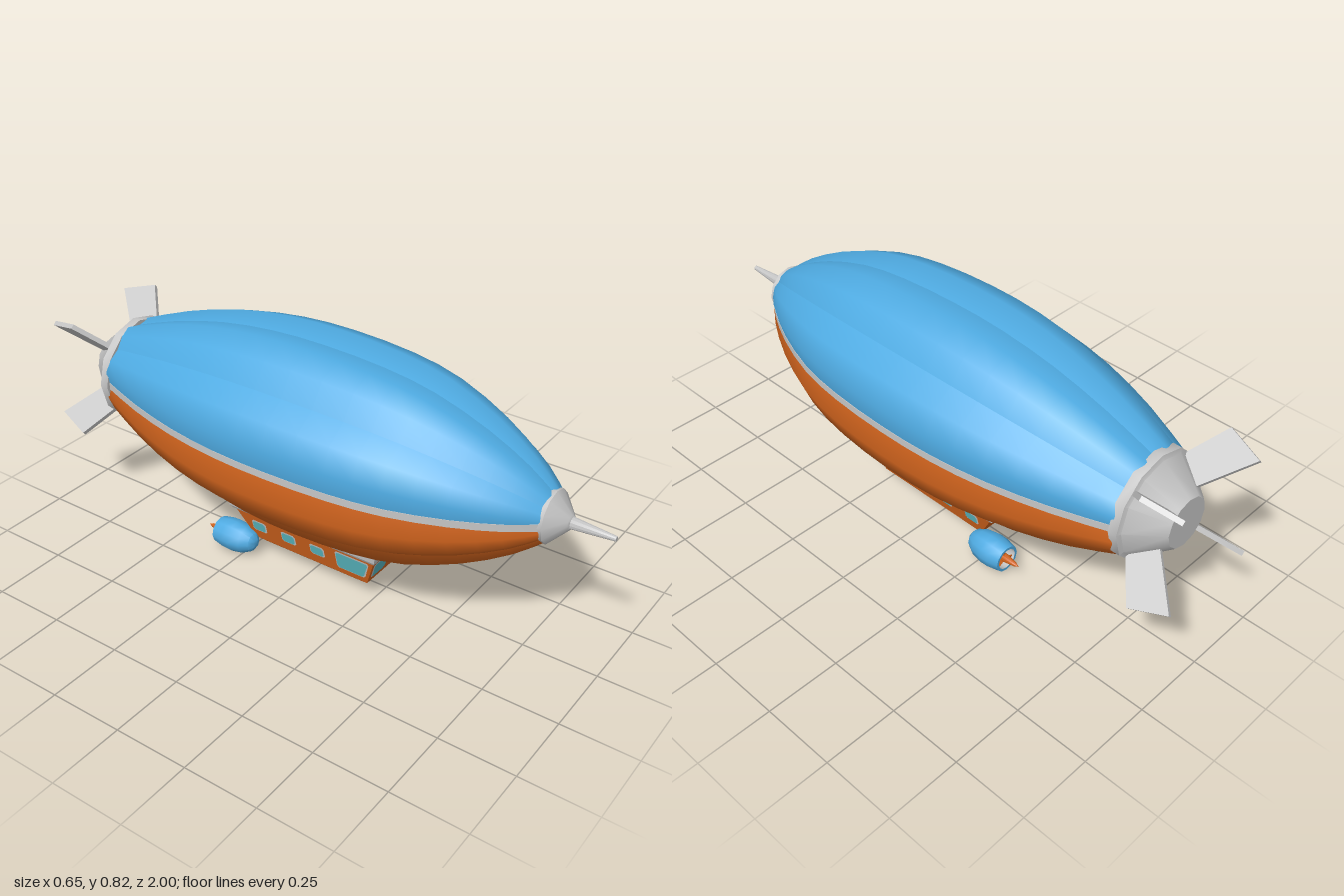
import * as THREE from 'three';
import { toCreasedNormals } from 'three/addons/utils/BufferGeometryUtils.js';

const AXIS_Y = 0.497; // height of the hull's long axis
const V2 = (x, y) => new THREE.Vector2(x, y);
const material = (name, color) => {
  const m = new THREE.MeshStandardMaterial({ color });
  m.name = name;
  return m;
};

// Surface through rows of points; outward when rows run front to back and columns counterclockwise
function loft(rows) {
  const n = rows[0].length, index = [];
  for (let i = 0; i < rows.length - 1; i++) {
    for (let j = 0; j < n - 1; j++) {
      const a = i * n + j, b = a + n;
      index.push(a, b, a + 1, b, b + 1, a + 1);
    }
  }
  const g = new THREE.BufferGeometry();
  g.setAttribute('position', new THREE.Float32BufferAttribute(rows.flat(2), 3));
  g.setIndex(index);
  g.computeVertexNormals();
  return g;
}

// Lathe turned along z; profile is [radius, z] from back to front
const latheZ = (profile) => toCreasedNormals(
  new THREE.LatheGeometry(profile.map(([r, z]) => V2(r, z)), 12).rotateX(Math.PI / 2), 0.6);

// Closed box with tapered sides from [y, halfWidth, zFront, zBack] levels, top to bottom
function taperedBox(levels) {
  const ring = ([y, w, f, b]) => [[w, y, b], [-w, y, b], [-w, y, f], [w, y, f], [w, y, b]];
  const collapse = ([y, , f, b]) => ring([y, 0, (f + b) / 2, (f + b) / 2]);
  const rows = [collapse(levels[0]), ...levels.map(ring), collapse(levels[levels.length - 1])];
  return toCreasedNormals(loft(rows), 0.1);
}

// Flat polygon with clipped corners, inset by d
function paneShape(corners, d) {
  const cu = corners.reduce((s, p) => s + p[0], 0) / 4;
  const cv = corners.reduce((s, p) => s + p[1], 0) / 4;
  const p = corners.map(([u, v]) => V2(u - Math.sign(u - cu) * d, v - Math.sign(v - cv) * d));
  const pts = [];
  p.forEach((c, i) => {
    const prev = p[(i + 3) % 4], next = p[(i + 1) % 4], clip = 0.007;
    pts.push(c.clone().add(prev.clone().sub(c).setLength(clip)));
    pts.push(c.clone().add(next.clone().sub(c).setLength(clip)));
  });
  return new THREE.Shape(pts);
}

export function createModel() {
  const blue = material('blue', 0x4fabe2);
  const orange = material('orange', 0xd0631d);
  const silver = material('silver', 0xc6c6c6);
  const glass = material('glass', 0x5cbcc6);

  const model = new THREE.Group();
  model.name = 'airship';
  const add = (name, geometry, mat, parent = model) => {
    const mesh = new THREE.Mesh(geometry, mat);
    mesh.name = name;
    parent.add(mesh);
  };

  // Everything centred on the long axis
  const envelope = new THREE.Group();
  envelope.name = 'envelope';
  envelope.position.y = AXIS_Y;
  model.add(envelope);

  // Hull: eight puffed lobes, blue above and orange below
  const profile = new THREE.SplineCurve([
    V2(0.802, 0.08), V2(0.72, 0.147), V2(0.58, 0.226), V2(0.4, 0.294), V2(0.22, 0.326), V2(0, 0.338),
    V2(-0.2, 0.331), V2(-0.4, 0.301), V2(-0.6, 0.245), V2(-0.78, 0.175),
  ]).getPoints(18);
  const CREASE = 0.915;
  for (let k = 0; k < 8; k++) {
    const rows = profile.map(({ x: z, y: r }) => [CREASE, 1, 1, CREASE].map((f, j) => {
      const t = (k + j / 3) * Math.PI / 4;
      return [r * f * Math.cos(t), r * f * Math.sin(t), z];
    }));
    add('hullLobe', loft(rows), k < 4 ? blue : orange, envelope);
  }

  // Silver strip along each side
  const stripRows = profile.map(({ x: z, y: r }) => {
    const x = r * CREASE;
    return [[x - 0.008, -0.013, z], [x + 0.004, -0.012, z], [x + 0.004, 0.012, z], [x - 0.008, 0.013, z]];
  });
  for (const turn of [0, Math.PI]) {
    add('sideStrip', toCreasedNormals(loft(stripRows).rotateZ(turn), 0.4), silver, envelope);
  }

  // Nose cap with spike, and tail cone
  add('noseCap', latheZ([[0, 0.79], [0.083, 0.79], [0.085, 0.808], [0.026, 0.86], [0.019, 0.864],
    [0.008, 1], [0, 1]]), silver, envelope);
  add('tailCone', latheZ([[0, -0.905], [0.083, -0.905], [0.165, -0.805], [0.18, -0.8],
    [0.18, -0.77], [0, -0.77]]), silver, envelope);

  // Four swept tail fins on the diagonals
  const finShape = new THREE.Shape([V2(0.139, -0.78), V2(0.29, -0.88), V2(0.245, -1), V2(0.09, -0.87)]);
  for (let k = 0; k < 4; k++) {
    const g = new THREE.ExtrudeGeometry(finShape, { depth: 0.016, bevelEnabled: false });
    g.translate(0, 0, -0.008).rotateX(Math.PI / 2).rotateZ(Math.PI / 4 + k * Math.PI / 2);
    add('tailFin', g, silver, envelope);
  }

  // Gondola body and its collar under the hull
  const gondola = new THREE.Group();
  gondola.name = 'gondola';
  model.add(gondola);
  add('gondolaBody', taperedBox([
    [0.185, 0.1225, 0.279, -0.285], [0.065, 0.092, 0.235, -0.215], [0.049, 0.075, 0.19, -0.17],
  ]), orange, gondola);
  add('gondolaCollar', taperedBox([
    [0.207, 0.134, 0.288, -0.3], [0.182, 0.13, 0.284, -0.295], [0.172, 0.124, 0.279, -0.285],
  ]), silver, gondola);

  // Windows: a silver plate with a smaller glass plate over it, laid on the sloping walls
  const wallX = (y) => 0.092 + (y - 0.065) * 0.254;
  const wallZ = (y) => 0.235 + (y - 0.065) * 0.367;
  const addWindow = (name, corners, place) => {
    [[name + 'Frame', 0, 0.002, silver], [name, 0.004, 0.004, glass]].forEach(([n, inset, lift, mat]) => {
      const g = new THREE.ShapeGeometry(paneShape(corners, inset));
      const p = g.attributes.position;
      for (let i = 0; i < p.count; i++) p.setXYZ(i, ...place(p.getX(i), p.getY(i), lift));
      g.computeVertexNormals();
      add(n, g, mat, gondola);
    });
  };
  for (const s of [1, -1]) {
    const onSide = (u, y, lift) => [s * (wallX(y) + lift), y, -s * u];
    const side = (pts) => pts.map(([z, y]) => [-s * z, y]);
    addWindow('cockpitWindow', side([[0.232, 0.088], [0.124, 0.088], [0.124, 0.162], [0.257, 0.162]]), onSide);
    for (const z of [0.05, -0.066, -0.186]) {
      addWindow('cabinWindow', side([[z + 0.029, 0.103], [z - 0.029, 0.103], [z - 0.029, 0.147],
        [z + 0.029, 0.147]]), onSide);
    }
    addWindow('windshield', [[s * 0.015, 0.088], [s * 0.09, 0.088], [s * 0.108, 0.162], [s * 0.015, 0.162]],
      (u, y, lift) => [u, y, wallZ(y) + lift]);
  }

  // Engine pods: shell, open duct at the back, spinner and blades
  for (const s of [1, -1]) {
    const engine = new THREE.Group();
    engine.name = s > 0 ? 'leftEngine' : 'rightEngine';
    engine.position.set(s * 0.116, 0.055, 0);
    model.add(engine);
    add('engineShell', latheZ([[0.037, -0.35], [0.046, -0.35], [0.054, -0.31], [0.055, -0.28],
      [0.048, -0.24], [0.032, -0.21], [0.015, -0.198], [0, -0.196]]), blue, engine);
    add('engineDuct', latheZ([[0, -0.315], [0.037, -0.315], [0.037, -0.35]]), silver, engine);
    add('spinner', latheZ([[0, -0.4], [0.007, -0.385], [0.014, -0.345], [0.014, -0.315]]), orange, engine);
    for (let k = 0; k < 3; k++) {
      const blade = new THREE.BoxGeometry(0.014, 0.028, 0.004);
      blade.rotateY(0.5).translate(0, 0.021, -0.338).rotateZ(k * Math.PI * 2 / 3);
      add('propellerBlade', blade, orange, engine);
    }
  }

  return model;
}
